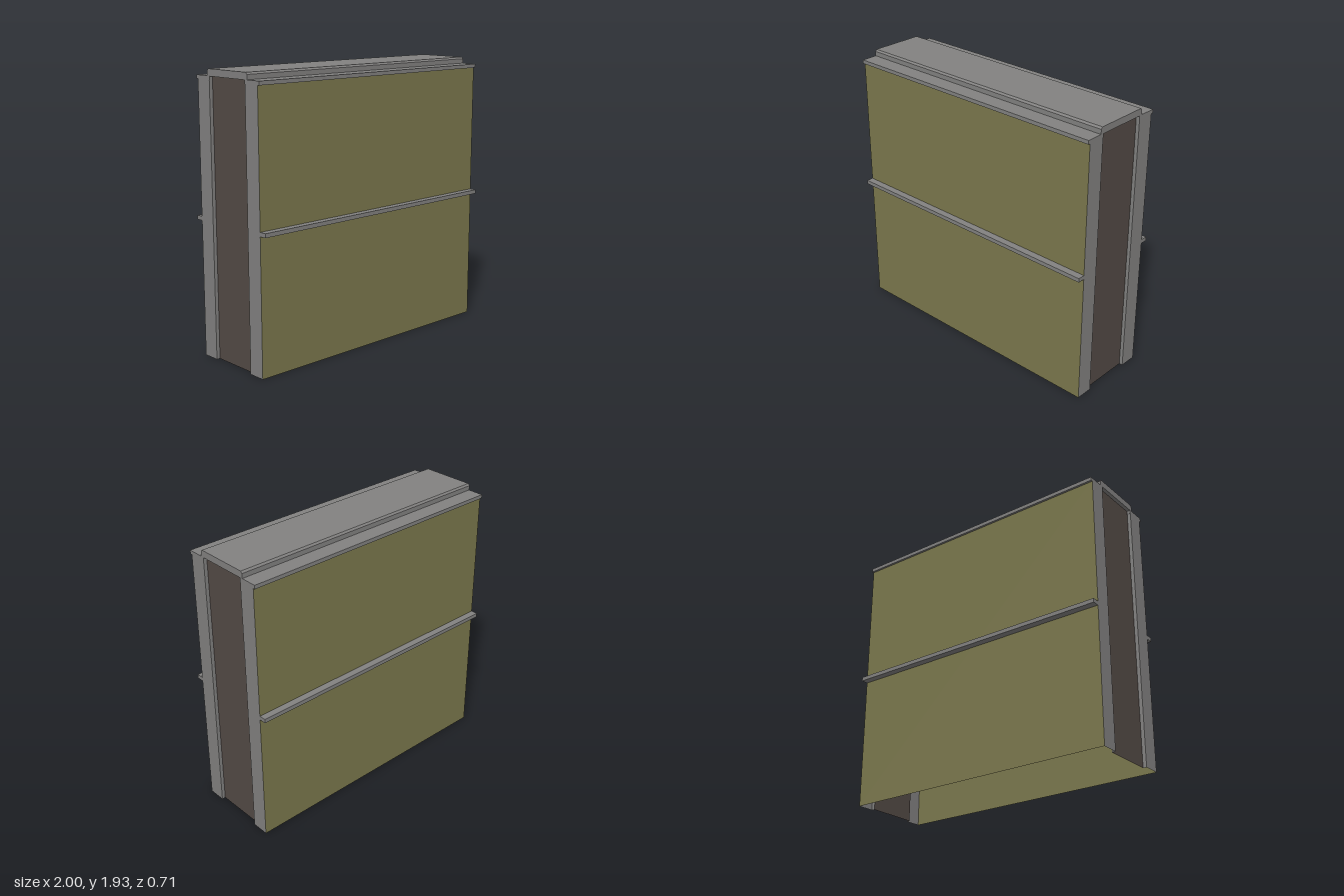
import * as THREE from 'three';

const olive = new THREE.MeshStandardMaterial({ name: 'olive panel', color: 0x7b784d, side: THREE.DoubleSide });
const gray = new THREE.MeshStandardMaterial({ name: 'gray trim', color: 0x828180, side: THREE.DoubleSide });
const brown = new THREE.MeshStandardMaterial({ name: 'dark brown core', color: 0x534a45, side: THREE.DoubleSide });

const HALF = 1, DEPTH = 0.305, CORE = 0.182, RECESS = 0.025, TOP = 1.885;

export function createModel() {
  const root = new THREE.Group();
  root.name = 'wallSegment';

  const add = (name, geometry, material, x, y, z, ry = 0) => {
    const mesh = new THREE.Mesh(geometry, material);
    mesh.name = name;
    mesh.position.set(x, y, z);
    mesh.rotation.y = ry;
    root.add(mesh);
  };
  // Upright sheet standing on the ground; the shell is hollow and open below
  const sheet = (name, width, height, material, x, z, ry) =>
    add(name, new THREE.PlaneGeometry(width, height), material, x, height / 2, z, ry);

  for (const s of [1, -1]) {
    const face = s > 0 ? 'front' : 'back';
    // Large wall face with its middle rail and top ledge
    sheet(face + 'Panel', 2 * HALF, 1.87, olive, 0, s * DEPTH, s > 0 ? 0 : Math.PI);
    add(face + 'Rail', new THREE.BoxGeometry(2 * HALF, 0.028, 0.05), gray, 0, 0.945, s * (DEPTH + 0.025));
    add(face + 'Ledge', new THREE.BoxGeometry(2 * HALF, 0.026, 0.14), gray, 0, 1.872, s * 0.25);

    // End of the wall: recessed core between two flush strips
    const end = s > 0 ? 'left' : 'right';
    const turn = s * Math.PI / 2;
    sheet(end + 'Core', 2 * CORE, TOP, brown, s * (HALF - RECESS), 0, turn);
    for (const t of [1, -1]) {
      const side = t > 0 ? 'Front' : 'Back';
      sheet(end + side + 'Strip', DEPTH - CORE, 1.87, gray, s * HALF, t * (DEPTH + CORE) / 2, turn);
      sheet(end + side + 'Reveal', RECESS, TOP, gray, s * (HALF - RECESS / 2), t * CORE, t > 0 ? Math.PI : 0);
    }
  }

  // Coping along the top with chamfered long edges
  const profile = new THREE.Shape([
    [-0.203, 1.883], [0.203, 1.883], [0.203, 1.917], [0.192, 1.93], [-0.192, 1.93], [-0.203, 1.917],
  ].map(([z, y]) => new THREE.Vector2(z, y)));
  const coping = new THREE.ExtrudeGeometry(profile, { depth: 2 * HALF, bevelEnabled: false });
  coping.translate(0, 0, -HALF);
  add('coping', coping, gray, 0, 0, 0, Math.PI / 2);

  return root;
}
